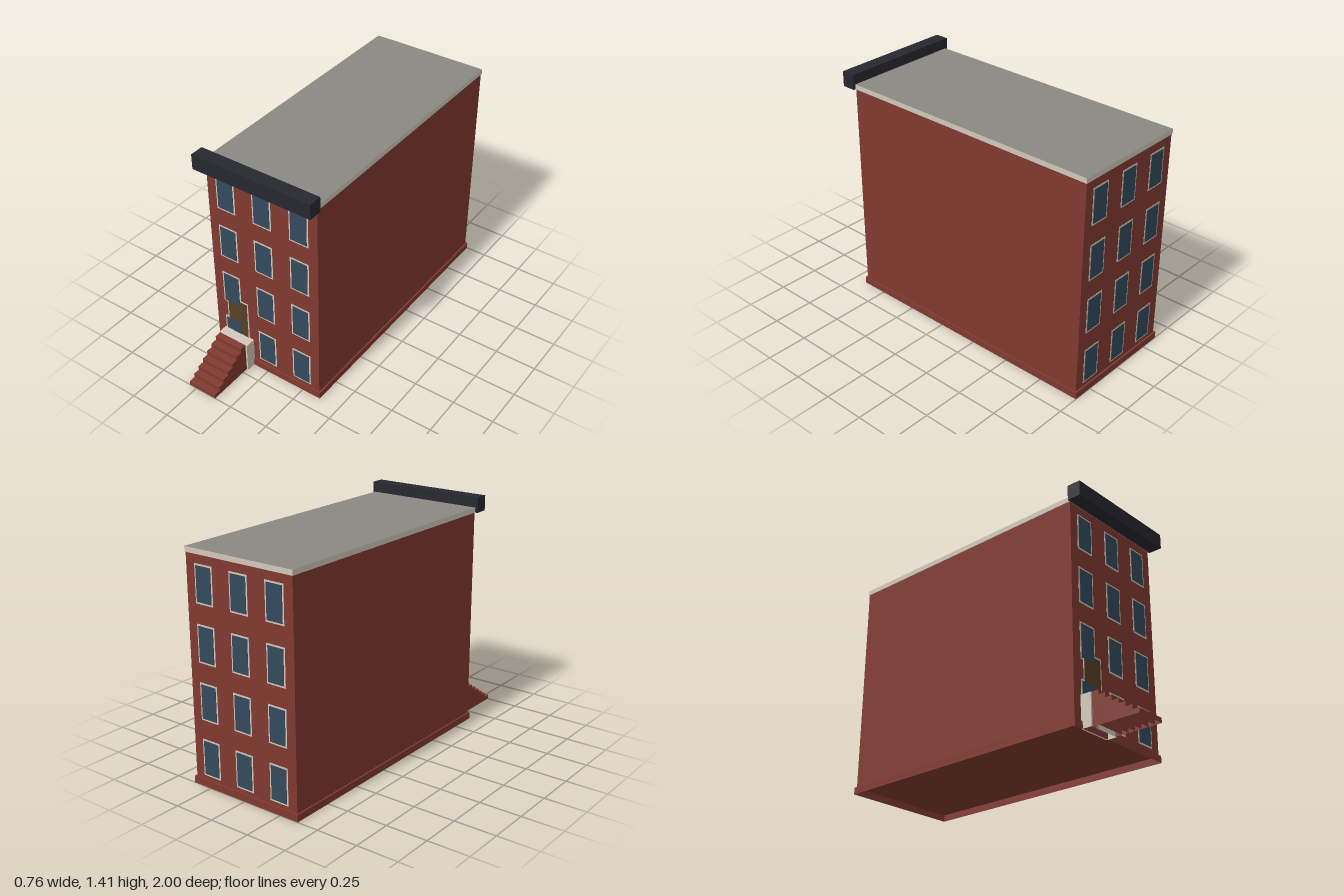
import * as THREE from 'three';

const mat = (name, color, side = THREE.FrontSide) => {
  const m = new THREE.MeshStandardMaterial({ color, side });
  m.name = name;
  return m;
};

export function createModel() {
  const brick = mat('brick', 0x813a31, THREE.DoubleSide);
  const stone = mat('stone', 0xd2c8bb, THREE.DoubleSide);
  const roofing = mat('roofing', 0x8a8982);
  const glass = mat('glass', 0x324a5c);
  const wood = mat('wood', 0x583f28);
  const iron = mat('iron', 0x272730);

  const model = new THREE.Group();
  model.name = 'rowHouse';

  // Box given by its extents on each axis
  const box = (name, material, [x0, x1], [y0, y1], [z0, z1], parent = model) => {
    const mesh = new THREE.Mesh(new THREE.BoxGeometry(x1 - x0, y1 - y0, z1 - z0), material);
    mesh.position.set((x0 + x1) / 2, (y0 + y1) / 2, (z0 + z1) / 2);
    mesh.name = name;
    parent.add(mesh);
    return mesh;
  };

  // Box standing on the ground, open underneath (downward face removed)
  const openBox = (name, material, xs, top, zs) => {
    const { geometry } = box(name, material, xs, [0, top], zs);
    const index = [...geometry.index.array];
    index.splice(18, 6);
    geometry.setIndex(index);
    geometry.clearGroups();
  };

  // Main volume, hollow plinth, roof slab (grey on top, stone edges) and cornice
  const front = 0.65, back = -0.99, plinthTop = 0.041;
  box('walls', brick, [-0.36, 0.36], [plinthTop, 1.315], [back, front]);
  openBox('plinth', brick, [-0.37, 0.37], plinthTop, [-1, 0.66]);
  box('roofSlab', [stone, stone, roofing, stone, stone, stone],
    [-0.364, 0.364], [1.315, 1.345], [-0.994, 0.652]);
  box('cornice', iron, [-0.379, 0.379], [1.315, 1.406], [0.65, 0.733]);

  // Windows: stone surround with a glass pane standing slightly proud
  const addWindow = (x, y, wall, out) => {
    const group = new THREE.Group();
    group.name = 'window';
    const layer = (name, material, w, h, d) => box(name, material,
      [x - w / 2, x + w / 2], [y - h / 2, y + h / 2],
      out > 0 ? [wall, wall + d] : [wall - d, wall], group);
    layer('windowSurround', stone, 0.123, 0.217, 0.0008);
    layer('windowPane', glass, 0.104, 0.197, 0.0032);
    model.add(group);
  };
  for (const y of [0.172, 0.5, 0.828, 1.156]) {
    for (const x of [-0.24, 0, 0.24]) {
      addWindow(x, y, front, 1);
      addWindow(x, y, back, -1);
    }
  }

  // Entrance door and its surround
  box('doorSurround', stone, [-0.28, -0.13], [0.18, 0.442], [front, front + 0.0016]);
  box('door', wood, [-0.272, -0.138], [0.18, 0.432], [front, front + 0.0024]);

  // Stoop: stone landing and seven brick steps, hollow underneath
  openBox('landing', stone, [-0.308, -0.102], 0.187, [front, 0.715]);
  const steps = 7, rise = 0.19 / steps, run = 0.285 / steps;
  for (let i = 0; i < steps; i++) {
    const z = 1 - i * run;
    openBox('step', brick, [-0.298, -0.112], (i + 1) * rise, [z - run, z]);
  }
  return model;
}
